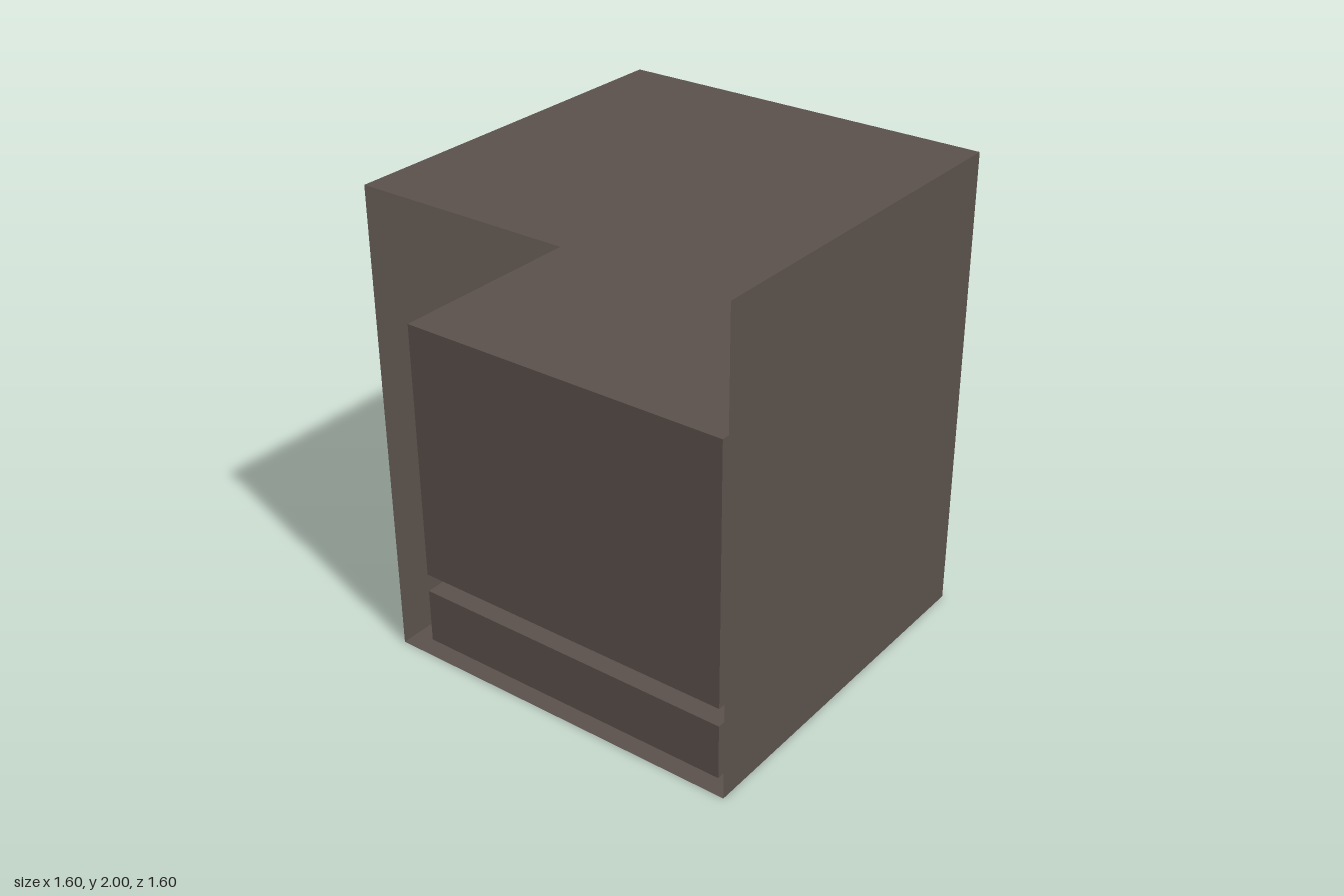
import * as THREE from 'three';

const H = 0.8;    // half width and half depth of the carcass
const I = 0.72;   // half width of the recesses, and their inner end
const TOP = 2;

export function createModel() {
  const model = new THREE.Group();
  const wood = new THREE.MeshStandardMaterial({ color: 0x5a504b, side: THREE.DoubleSide });
  wood.name = 'dark wood';
  const pale = new THREE.MeshStandardMaterial({ color: 0xd0cccb, side: THREE.DoubleSide });
  pale.name = 'pale inlay';

  const add = (name, geometry, material = wood, parent = model) => {
    const mesh = new THREE.Mesh(geometry, material);
    mesh.name = name;
    parent.add(mesh);
    return mesh;
  };
  const outline = (points) => new THREE.Shape(points.map(([x, y]) => new THREE.Vector2(x, y)));

  // Single-sheet panels, each facing outwards
  const upright = (name, x, y0, y1, z0, z1, parent) => {
    const g = new THREE.PlaneGeometry(z1 - z0, y1 - y0).rotateY(Math.sign(x) * Math.PI / 2);
    add(name, g.translate(x, (y0 + y1) / 2, (z0 + z1) / 2), wood, parent);
  };
  const level = (name, y, halfWidth, z0, z1, parent) => {
    const g = new THREE.PlaneGeometry(halfWidth * 2, z1 - z0).rotateX(-Math.PI / 2);
    add(name, g.translate(0, y, (z0 + z1) / 2), wood, parent);
  };

  // Outer carcass, open at the front
  level('top', TOP, H, -H, H);
  upright('leftSide', H, 0, TOP, -H, H);
  upright('rightSide', -H, 0, TOP, -H, H);

  // Back panel with the compartment opening and the foot notch
  const back = outline([
    [-H, 0], [-I, 0], [-I, 0.24], [I, 0.24], [I, 0], [H, 0], [H, TOP], [-H, TOP],
  ]);
  back.holes.push(outline([[-I, 0.32], [-I, 1.44], [I, 1.44], [I, 0.32]]));
  add('backPanel', new THREE.ShapeGeometry(back).rotateY(Math.PI).translate(0, 0, -H));

  // U-shaped base rim around the foot recess
  const rim = outline([[-H, -H], [-I, -H], [-I, I], [I, I], [I, -H], [H, -H], [H, H], [-H, H]]);
  add('baseRim', new THREE.ShapeGeometry(rim).rotateX(Math.PI / 2));

  // Recesses running forward from the back panel
  const recess = (name, y0, y1, hasFloor) => {
    const group = new THREE.Group();
    group.name = name;
    upright('leftWall', I, y0, y1, -H, I, group);
    upright('rightWall', -I, y0, y1, -H, I, group);
    level('ceiling', y1, I, -H, I, group);
    if (hasFloor) level('floor', y0, I, -H, I, group);
    const end = new THREE.PlaneGeometry(I * 2, y1 - y0).translate(0, (y0 + y1) / 2, I);
    add('endWall', end, wood, group);
    model.add(group);
  };
  recess('compartment', 0.32, 1.44, true);
  recess('footRecess', 0, 0.24, false);

  // Small pale inlays let into the back panel
  const inlay = (name, points) => {
    const curve = new THREE.SplineCurve([...points, points[0]].map(([x, y]) => new THREE.Vector2(x, y)));
    const g = new THREE.ExtrudeGeometry(new THREE.Shape(curve.getPoints(32)), {
      depth: 0.004, bevelEnabled: false,
    });
    add(name, g.translate(0, 0, -H - 0.002), pale);
  };
  inlay('inlayCrescent', [
    [0.095, 1.795], [0.135, 1.785], [0.152, 1.74], [0.125, 1.685], [0.07, 1.645], [0.11, 1.7], [0.13, 1.75],
  ]);
  inlay('inlayCentre', [[-0.01, 1.762], [0.008, 1.73], [-0.01, 1.703], [-0.03, 1.732]]);
  inlay('inlayComma', [[-0.14, 1.79], [-0.145, 1.765], [-0.175, 1.735], [-0.183, 1.765], [-0.165, 1.8]]);

  return model;
}
